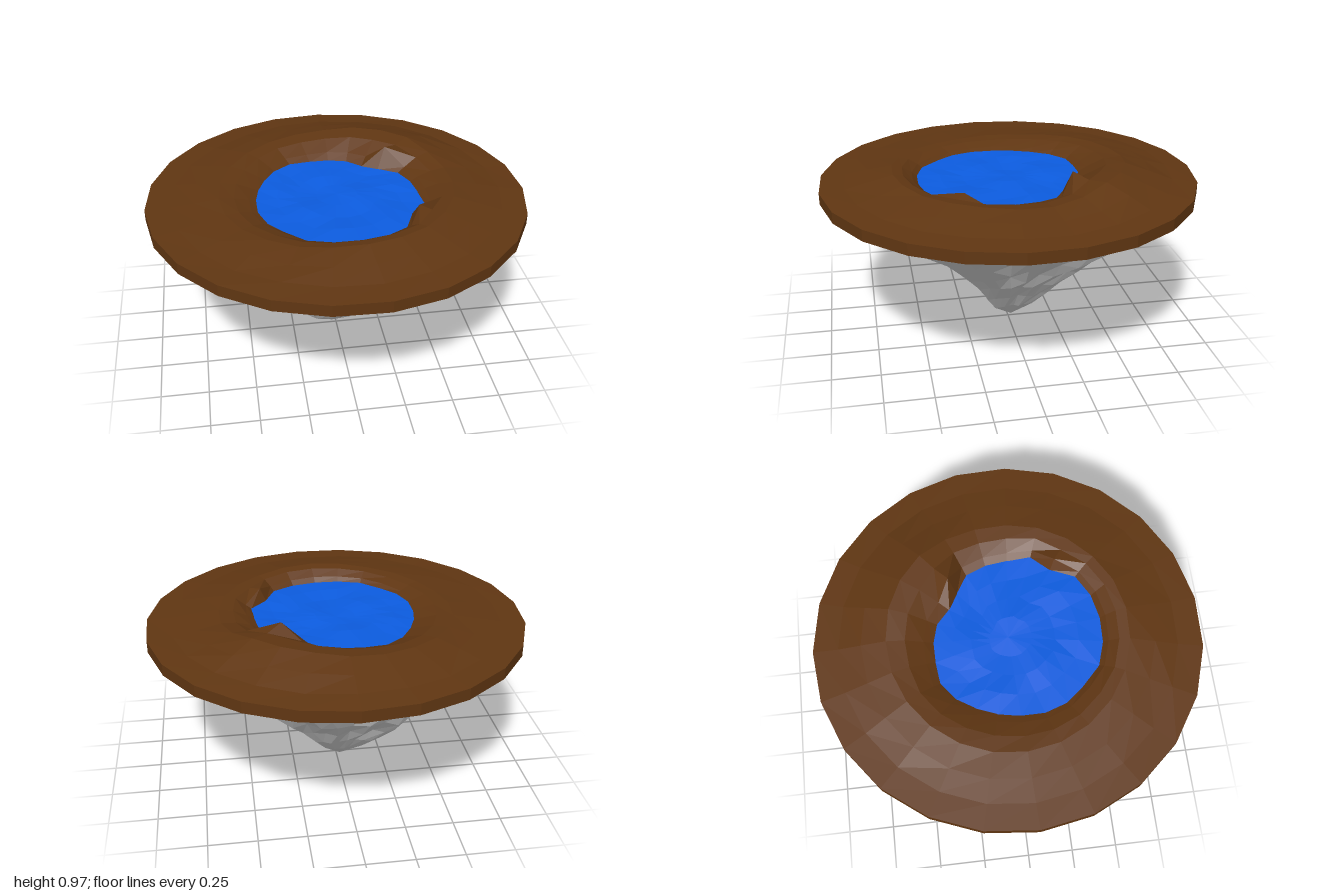
import * as THREE from 'three';

const SIDES = 23;

// Repeatable noise in 0..1
const noise = (a, b) => {
  const s = Math.sin(a * 127.1 + b * 311.7 + 4.2) * 43758.5453;
  return s - Math.floor(s);
};

// Skin a stack of rings (clockwise seen from above, bottom to top)
function loft(name, rings, color) {
  const n = rings[0].length;
  const index = [];
  for (let i = 0; i < rings.length - 1; i++) {
    for (let j = 0; j < n; j++) {
      const a = i * n + j, b = i * n + (j + 1) % n;
      index.push(a, a + n, b, b, a + n, b + n);
    }
  }
  const geometry = new THREE.BufferGeometry().setFromPoints(rings.flat());
  geometry.setIndex(index);
  geometry.computeVertexNormals();
  const mesh = new THREE.Mesh(geometry, new THREE.MeshStandardMaterial({ color, flatShading: true }));
  mesh.name = name;
  return mesh;
}

// Round ring; radius and height are functions of the side number
function ring(radius, height) {
  return Array.from({ length: SIDES }, (_, k) => {
    const a = THREE.MathUtils.degToRad(1.7) + (k / SIDES) * Math.PI * 2;
    const r = radius(k);
    return new THREE.Vector3(Math.sin(a) * r, height(k), -Math.cos(a) * r);
  });
}

// Shore radius and crest height around the crater, starting at the back
const SHORE = [.38, .37, .34, .36, .41, .42, .43, .47, .44, .49, .49, .485,
  .485, .485, .46, .455, .44, .42, .41, .41, .42, .42, .39];
const CREST = [.935, .95, .96, .96, .925, .905, .91, .915, .915, .915, .92, .92,
  .915, .905, .895, .89, .888, .888, .89, .9, .91, .92, .925];

function createGround() {
  const rise = f => k => .86 + (CREST[k] - .86) * f + (noise(k, f) - .5) * .006;
  const between = f => k => SHORE[k] + (.62 - SHORE[k]) * f;
  // Two sharp rocks stick out at the shore
  const lip = k => (k === 3 ? .97 : k === 8 ? .92 : rise(.28)(k));
  const flat = v => () => v;
  return loft('ground', [
    ring(flat(0), flat(.755)),
    ring(flat(.3), flat(.755)),
    ring(flat(.6), k => .757 + .008 * noise(k, 2)),
    ring(flat(.82), flat(.778)),
    ring(flat(1), flat(.8)),
    ring(flat(1), flat(.86)),
    ring(flat(.87), rise(.15)),
    ring(flat(.75), rise(.55)),
    ring(between(1), rise(1)),
    ring(between(.6), rise(.85)),
    ring(between(.22), lip),
    ring(k => SHORE[k], flat(.853)),
    ring(k => SHORE[k] * .7, flat(.82)),
    ring(flat(0), flat(.8)),
  ], 0x603612);
}

// Slightly rippled water that ends just inside the banks
function createLake() {
  const rings = [1.02, .75, .5, .25, 0].map(f => ring(k => SHORE[k] * f, () => .855));
  rings.slice(1).flat().forEach(p => {
    p.y += .008 * Math.sin(p.x * 13 + p.z * 5) * Math.cos(p.z * 15 - p.x * 4);
  });
  return loft('lake', rings, 0x0c5ce0);
}

// Square inverted rock: [height, right, left, front, back] extents per level
function createRock() {
  const levels = [
    [0, -.02, .02, -.02, .02], [.1, .08, .14, .09, .13], [.19, .15, .22, .15, .21],
    [.28, .24, .32, .21, .28], [.38, .31, .4, .29, .37], [.47, .4, .45, .35, .43],
    [.57, .49, .52, .42, .52], [.68, .585, .61, .52, .6], [.8, .66, .69, .59, .63],
  ];
  const PER_SIDE = 8;
  const corners = [[-1, -1], [1, -1], [1, 1], [-1, 1]];
  const last = levels.length - 1;
  const rings = levels.map(([y, px, nx, pz, nz], i) => {
    const points = [];
    // Corners are worn back most at mid height, and dents fade towards the tip
    const worn = .11 * Math.sin(Math.PI * i / last);
    const rough = i < last ? .1 * Math.min(1, i / 4) : 0;
    corners.forEach((c, s) => {
      const d = corners[(s + 1) % 4];
      for (let j = 0; j < PER_SIDE; j++) {
        const t = j / PER_SIDE;
        const u = c[0] + (d[0] - c[0]) * t, v = c[1] + (d[1] - c[1]) * t;
        const id = s * PER_SIDE + j;
        const edge = Math.abs(2 * t - 1) ** 2;
        const scale = 1 - worn * edge - rough * (1 - edge) * noise(id, i);
        const lift = rough * (noise(i, id + 50) - .5) * .5;
        const x = THREE.MathUtils.lerp(-nx, px, (u + 1) / 2);
        const z = THREE.MathUtils.lerp(-nz, pz, (v + 1) / 2);
        points.push(new THREE.Vector3(x * scale, y + lift, z * scale));
      }
    });
    return points;
  });
  // Top cap, hidden inside the ground
  rings.push(rings[0].map(() => new THREE.Vector3(0, .79, 0)));
  return loft('rock', rings, 0xcccccc);
}

export function createModel() {
  const model = new THREE.Group();
  model.name = 'floatingIsland';
  model.add(createGround(), createLake(), createRock());
  return model;
}
